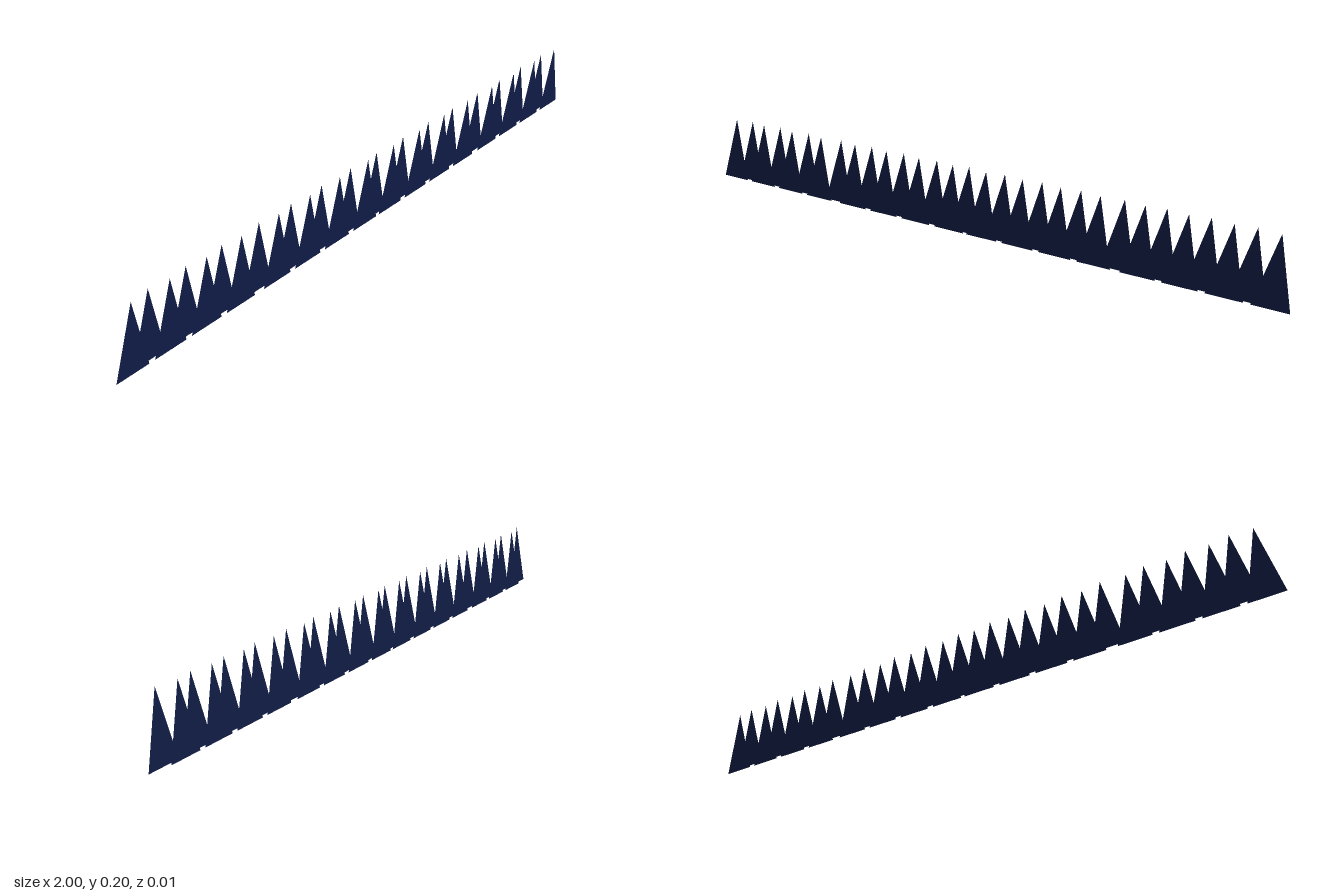
import * as THREE from 'three';

// One flat, vertical blade; its tip sits above x = 0 and leans toward +x
function bladeGeometry() {
  const shape = new THREE.Shape();
  shape.moveTo(-0.07, 0);
  shape.lineTo(0.036, 0);
  shape.lineTo(0, 0.2);
  shape.closePath();
  return new THREE.ShapeGeometry(shape);
}

export function createModel() {
  const model = new THREE.Group();
  model.name = 'grassStrip';
  const material = new THREE.MeshStandardMaterial({ color: 0x101c46, side: THREE.DoubleSide });
  const geometry = bladeGeometry();
  const step = 0.125;

  // Each row is made of tufts: [x of the first tip, number of blades]
  const rows = [
    { name: 'frontRow', z: 0.005, tufts: [[-0.93, 4], [-0.414, 4], [0.079, 4], [0.589, 4]] },
    { name: 'backRow', z: -0.005, tufts: [[-0.867, 3], [-0.48, 4], [0.012, 4], [0.522, 4]] },
  ];

  for (const { name, z, tufts } of rows) {
    const row = new THREE.Group();
    row.name = name;
    row.position.z = z;
    for (const [start, count] of tufts) {
      for (let i = 0; i < count; i++) {
        const blade = new THREE.Mesh(geometry, material);
        blade.name = 'blade';
        blade.position.x = start + i * step;
        row.add(blade);
      }
    }
    model.add(row);
  }
  return model;
}
